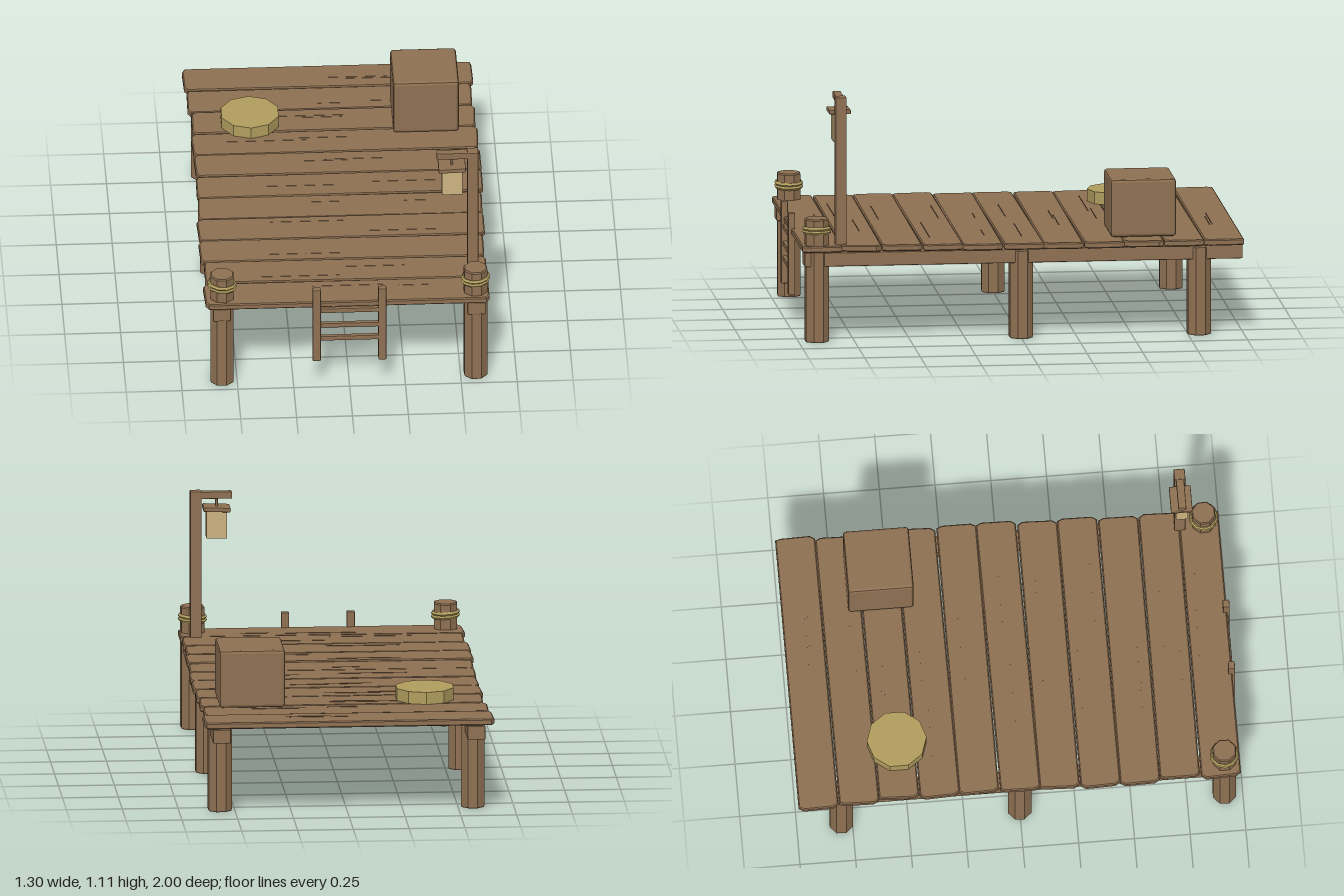
import * as THREE from 'three';
import { RoundedBoxGeometry } from 'three/addons/geometries/RoundedBoxGeometry.js';

const flat = (name, color) => {
  const m = new THREE.MeshStandardMaterial({ color, flatShading: true });
  m.name = name;
  return m;
};

export function createModel() {
  const model = new THREE.Group();
  model.name = 'dock';
  const wood = flat('wood', 0x8e7052);
  const straw = flat('straw', 0xb19d5e);
  const lampGlow = flat('lampGlow', 0xcdb482);

  let seed = 7;
  const jitter = (a) => {
    seed = (seed * 16807) % 2147483647;
    return (seed / 2147483647 * 2 - 1) * a;
  };

  const add = (name, geometry, material, x, y, z, parent = model) => {
    const mesh = new THREE.Mesh(geometry, material);
    mesh.name = name;
    mesh.position.set(x, y, z);
    parent.add(mesh);
    return mesh;
  };
  // Slightly chamfered timber
  const timber = (name, w, h, d, x, y, z, parent) =>
    add(name, new RoundedBoxGeometry(w, h, d, 1, 0.004), wood, x, y, z, parent);

  // Deck of uneven planks laid across the beams
  const deck = new THREE.Group();
  deck.name = 'deck';
  model.add(deck);
  const count = 11, back = -0.998, front = 0.988, pitch = (front - back) / count;
  const bevel = 0.005;
  for (let i = 0; i < count; i++) {
    const z = back + pitch * (i + 0.5);
    const half = pitch / 2 - bevel - 0.001;
    const skew = i === 0 || i === count - 1 ? 0 : jitter(0.004);
    const left = -0.63 + jitter(0.013), right = 0.63 + jitter(0.013);
    const shape = new THREE.Shape([
      new THREE.Vector2(left + 0.012, -half - skew),
      new THREE.Vector2(right - 0.012, -half + skew),
      new THREE.Vector2(right, -half + 0.02 + skew),
      new THREE.Vector2(right + jitter(0.006), half - 0.02 + skew),
      new THREE.Vector2(right - 0.008, half + skew),
      new THREE.Vector2(left + 0.008, half - skew),
      new THREE.Vector2(left + jitter(0.006), half - 0.02 - skew),
      new THREE.Vector2(left, -half + 0.02 - skew),
    ]);
    const g = new THREE.ExtrudeGeometry(shape, {
      depth: 0.019, bevelEnabled: true, bevelSize: bevel, bevelThickness: bevel, bevelSegments: 1,
    });
    g.rotateX(-Math.PI / 2);
    const plank = add('plank', g, wood, 0, 0.415 + jitter(0.002), z, deck);
    plank.rotation.x = jitter(0.012);
    // Raised splinters along the grain
    for (let k = 0; k < 2; k++) {
      add('grain', new THREE.BoxGeometry(0.25 + jitter(0.15), 0.004, 0.004), wood,
        jitter(0.35), 0.0235, jitter(0.05), plank);
    }
  }

  // Side beams and the eight-sided posts
  for (const side of [-1, 1]) {
    timber('beam', 0.08, 0.062, 1.97, side * 0.57, 0.376, -0.008);
    for (const [z, height] of [[0.918, 0.56], [0, 0.405], [-0.8, 0.405]]) {
      const profile = [[0, 0], [0.053, 0], [0.056, 0.006], [0.056, height - 0.006], [0.051, height], [0, height]];
      const post = add('post', new THREE.LatheGeometry(
        profile.map(([r, y]) => new THREE.Vector2(r, y)), 8), wood, side * 0.567, 0, z);
      post.rotation.y = Math.PI / 8 + side * 0.06;
    }
    // Rope wound around the mooring post
    for (const y of [0.498, 0.513]) {
      const rope = add('rope', new THREE.TorusGeometry(0.056, 0.01, 5, 10), straw, side * 0.567, y, 0.918);
      rope.rotation.x = Math.PI / 2;
      rope.rotation.y = side * 0.06;
    }
  }

  // Ladder at the front edge
  const ladder = new THREE.Group();
  ladder.name = 'ladder';
  model.add(ladder);
  for (const side of [-1, 1]) {
    timber('ladderRail', 0.036, 0.374, 0.03, side * 0.147, 0.322, 0.985, ladder);
  }
  for (const y of [0.25, 0.318, 0.395]) {
    timber('ladderRung', 0.27, 0.023, 0.02, 0, y, 0.983, ladder);
  }

  // Lamp post with its hanging lantern
  const lamp = new THREE.Group();
  lamp.name = 'lamp';
  model.add(lamp);
  timber('lampPost', 0.05, 0.68, 0.05, 0.56, 0.768, 0.81, lamp);
  timber('lampArm', 0.17, 0.032, 0.036, 0.483, 1.089, 0.81, lamp);
  timber('lanternHook', 0.012, 0.05, 0.012, 0.467, 1.055, 0.81, lamp);
  const roof = timber('lanternRoof', 0.122, 0.02, 0.097, 0.467, 1.029, 0.808, lamp);
  roof.rotation.z = 0.04;
  add('lantern', new THREE.BoxGeometry(0.092, 0.125, 0.055), lampGlow, 0.467, 0.957, 0.81, lamp);

  // Crate and straw cushion on the deck
  add('crate', new RoundedBoxGeometry(0.295, 0.262, 0.295, 1, 0.014), wood, 0.413, 0.573, -0.553);
  add('cushion', new THREE.CylinderGeometry(0.134, 0.134, 0.055, 10), straw, -0.37, 0.466, -0.535);

  return model;
}
